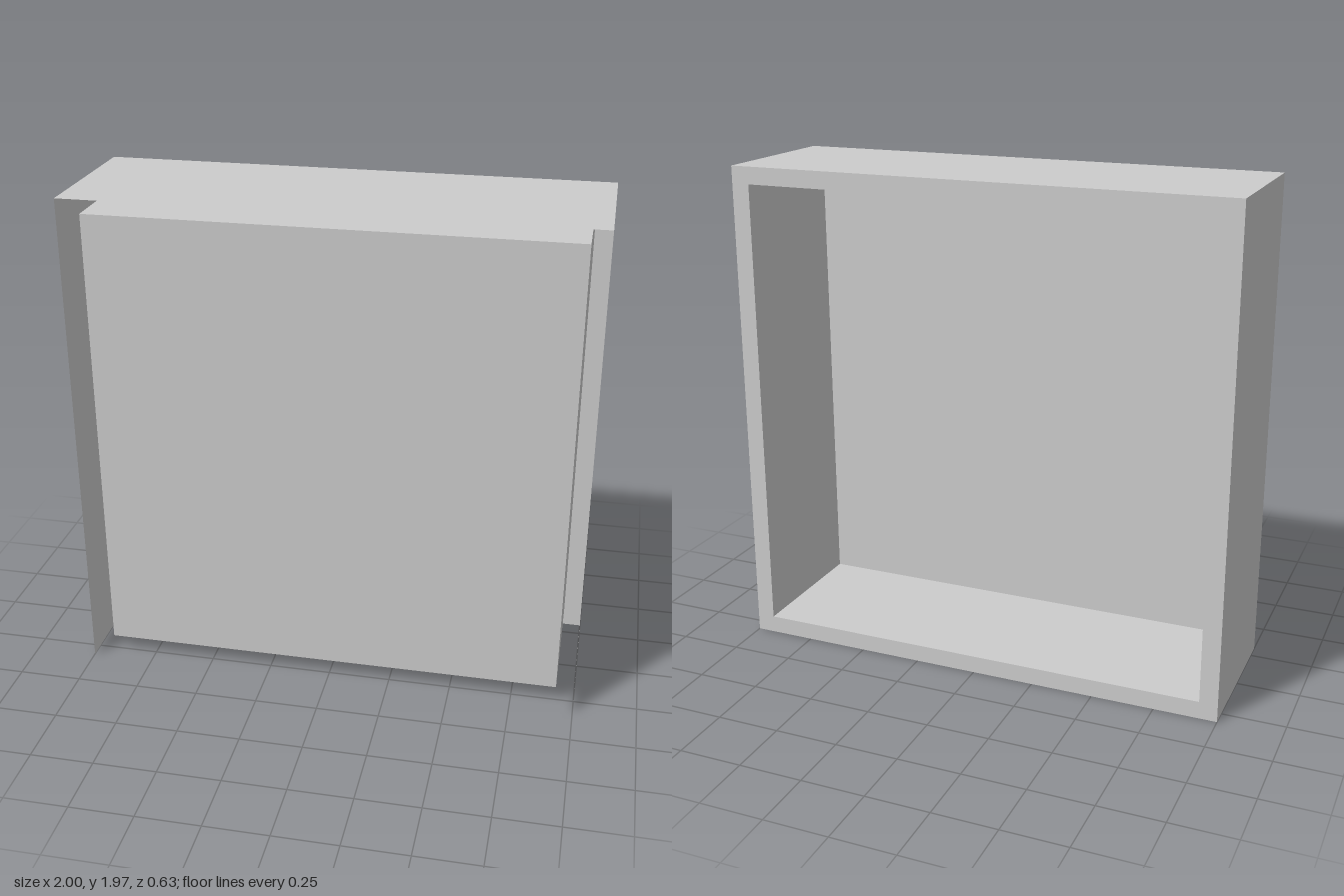
import * as THREE from 'three';

// Overall shell and inset tray dimensions
const W = 1, H = 1.973, Z = 0.315;
const IN = 0.928, LOW = 0.07, HIGH = 1.905, PANEL_Z = 0.265;

export function createModel() {
  const group = new THREE.Group();
  const material = new THREE.MeshStandardMaterial({
    color: 0xcccccc, flatShading: true, side: THREE.DoubleSide,
  });

  function add(name, geometry, x, y, z) {
    const mesh = new THREE.Mesh(geometry, material);
    mesh.name = name;
    mesh.position.set(x, y, z);
    group.add(mesh);
  }

  // Thin sheets: side faces +x or -x, deck faces up or down
  const side = (name, sign, x, y0, y1, z0, z1) => add(name,
    new THREE.PlaneGeometry(z1 - z0, y1 - y0).rotateY(sign * Math.PI / 2),
    x, (y0 + y1) / 2, (z0 + z1) / 2);
  const deck = (name, sign, halfWidth, y, z0, z1) => add(name,
    new THREE.PlaneGeometry(2 * halfWidth, z1 - z0).rotateX(-sign * Math.PI / 2),
    0, y, (z0 + z1) / 2);

  // Outer casing, open at the front and underneath
  deck('casingTop', 1, W, H, -Z, Z);
  for (const s of [1, -1]) {
    const hand = s > 0 ? 'Left' : 'Right';
    side('casing' + hand, s, s * W, 0, H, -Z, Z);
    side('tray' + hand, s, s * IN, LOW, HIGH, -Z, PANEL_Z);
  }

  // Inner tray with its closed front panel
  deck('trayTop', 1, IN, HIGH, -Z, PANEL_Z);
  deck('trayBottom', -1, IN, LOW, -Z, PANEL_Z);
  add('frontPanel', new THREE.PlaneGeometry(2 * IN, HIGH - LOW), 0, (LOW + HIGH) / 2, PANEL_Z);

  // Back rim joining casing and tray
  const rectangle = (half, y0, y1) => [[-half, y0], [half, y0], [half, y1], [-half, y1]]
    .map(([x, y]) => new THREE.Vector2(x, y));
  const rim = new THREE.Shape(rectangle(W, 0, H));
  rim.holes.push(new THREE.Path(rectangle(IN, LOW, HIGH)));
  // Mirrored about the centre so that it faces backwards
  add('backRim', new THREE.ShapeGeometry(rim).rotateY(Math.PI), 0, 0, -Z);

  return group;
}
